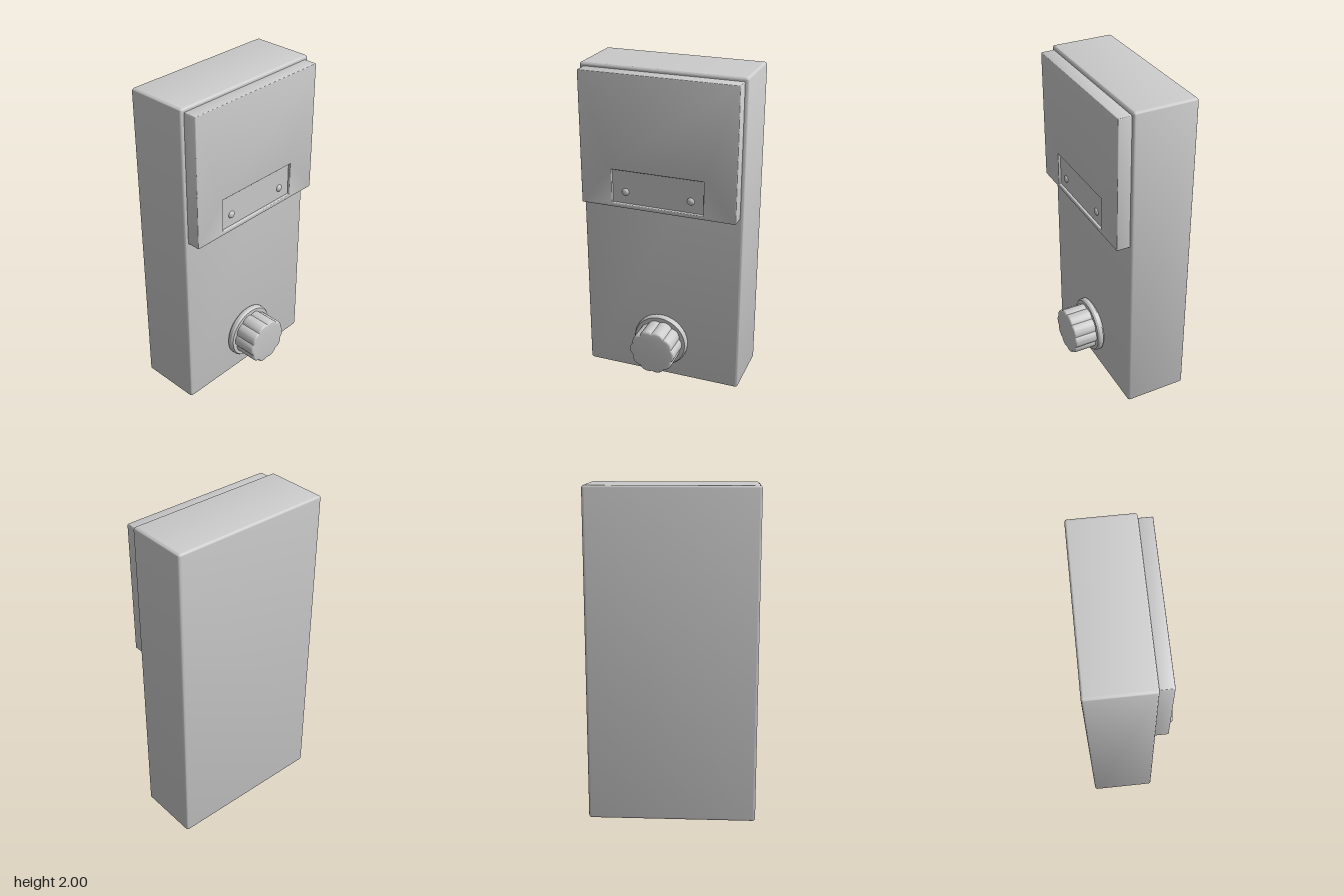
import * as THREE from 'three';
import { toCreasedNormals } from 'three/addons/utils/BufferGeometryUtils.js';

const material = new THREE.MeshStandardMaterial({ color: 0xcccccc });

function part(name, geometry, x = 0, y = 0, z = 0) {
  const mesh = new THREE.Mesh(geometry, material);
  mesh.name = name;
  mesh.position.set(x, y, z);
  return mesh;
}

// Rectangle outline with slightly rounded corners
function roundedRect(Type, x0, y0, x1, y1, r) {
  const s = new Type();
  s.absarc(x1 - r, y1 - r, r, 0, Math.PI / 2);
  s.absarc(x0 + r, y1 - r, r, Math.PI / 2, Math.PI);
  s.absarc(x0 + r, y0 + r, r, Math.PI, Math.PI * 1.5);
  s.absarc(x1 - r, y0 + r, r, Math.PI * 1.5, Math.PI * 2);
  s.closePath();
  return s;
}

// Extrusion from z0 to z1 whose bevel stays inside the outline
function slab(shape, z0, z1, bevel, curveSegments = 4) {
  const g = new THREE.ExtrudeGeometry(shape, {
    depth: z1 - z0 - 2 * bevel, bevelEnabled: true, bevelThickness: bevel,
    bevelSize: bevel, bevelOffset: -bevel, bevelSegments: 3, curveSegments,
  });
  g.translate(0, 0, z0 + bevel);
  return toCreasedNormals(g, 0.6);
}

export function createModel() {
  const group = new THREE.Group();

  // Main case
  group.add(part('case', slab(roundedRect(THREE.Shape, -0.505, 0, 0.505, 2, 0.018), -0.287, 0.1, 0.014)));

  // Raised upper panel with a shallow rectangular recess
  const panel = roundedRect(THREE.Shape, -0.483, 1.163, 0.483, 1.978, 0.008);
  const hole = new THREE.Path();
  hole.moveTo(-0.285, 1.19).lineTo(-0.285, 1.398).lineTo(0.285, 1.398).lineTo(0.285, 1.19).closePath();
  panel.holes.push(hole);
  group.add(part('upperPanel', slab(panel, 0.08, 0.181, 0.006)));
  group.add(part('recessFloor', new THREE.BoxGeometry(0.6, 0.23, 0.07), 0, 1.294, 0.131));

  // Two small studs in the recess
  for (const side of [-1, 1]) {
    const stud = new THREE.SphereGeometry(0.023, 20, 8, 0, Math.PI * 2, 0, Math.PI / 2);
    stud.rotateX(Math.PI / 2);
    stud.scale(1, 1, 0.6);
    group.add(part(side > 0 ? 'leftStud' : 'rightStud', stud, side * 0.204, 1.262, 0.165));
  }

  // Knob: stepped round collar and a scalloped grip
  const knob = new THREE.Group();
  knob.name = 'knob';
  knob.position.set(0, 0.26, 0);
  const profile = [[0, 0.09], [0.165, 0.09], [0.165, 0.108], [0.174, 0.108], [0.174, 0.13], [0.166, 0.142], [0, 0.142]];
  const collar = new THREE.LatheGeometry(profile.map(([r, z]) => new THREE.Vector2(r, z)), 64);
  collar.rotateX(Math.PI / 2);
  knob.add(part('collar', toCreasedNormals(collar, 0.5)));

  const outline = [];
  for (let i = 0; i < 120; i++) {
    const a = (i / 120) * Math.PI * 2;
    const r = 0.134 + 0.012 * Math.abs(Math.cos(a * 5)) ** 0.8;
    outline.push(new THREE.Vector2(Math.cos(a) * r, Math.sin(a) * r));
  }
  knob.add(part('grip', slab(new THREE.Shape(outline), 0.12, 0.288, 0.01)));
  group.add(knob);

  return group;
}
